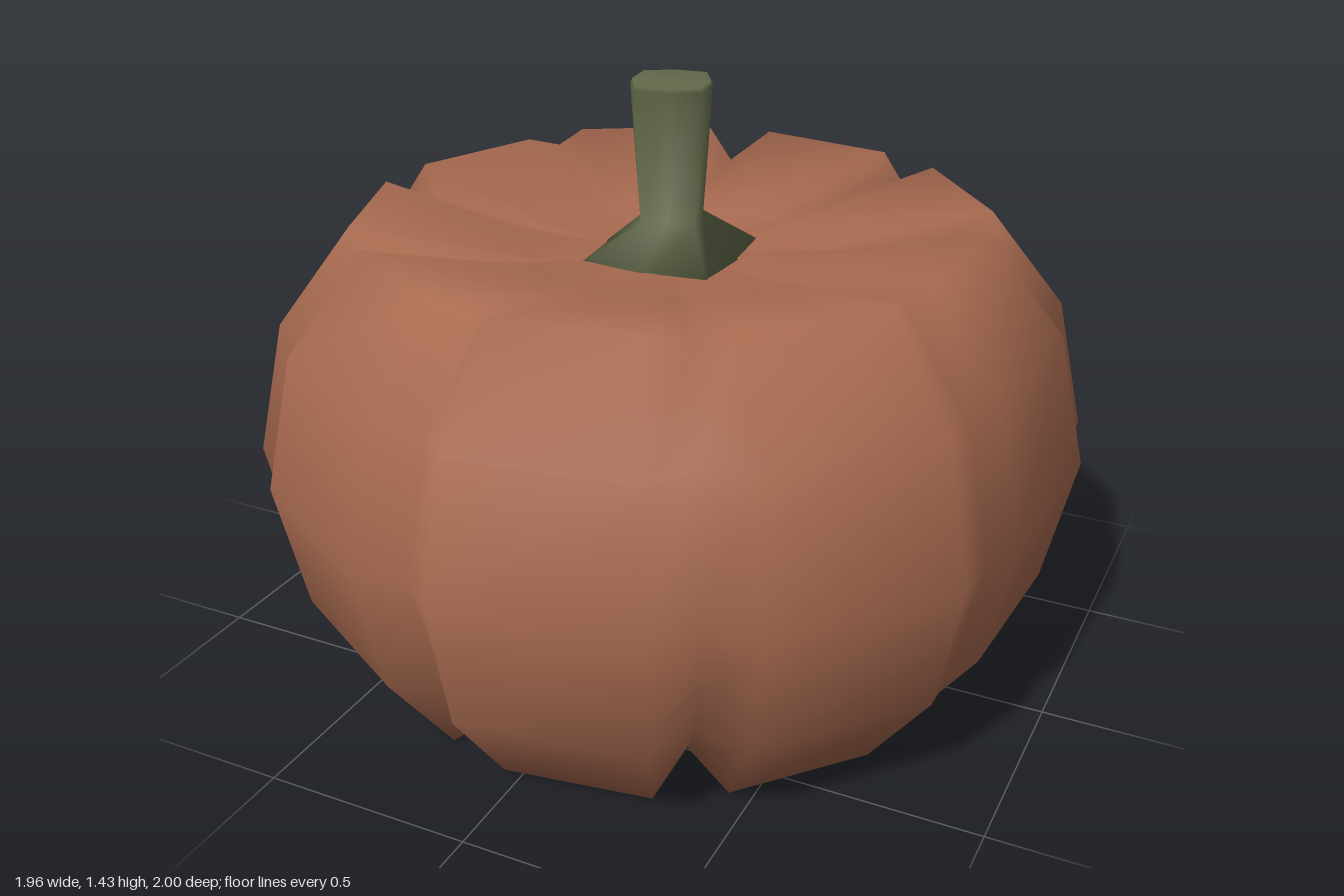
import * as THREE from 'three';

const pumpkinSkin = new THREE.MeshStandardMaterial({ color: 0xa86a50 });
pumpkinSkin.name = 'pumpkinSkin';
const stemGreen = new THREE.MeshStandardMaterial({ color: 0x62694a });
stemGreen.name = 'stemGreen';

// Skin closed rings of [x, y, z] points, listed from bottom to top, capped by two poles
function loft(rings, bottom, top) {
  const n = rings[0].length;
  const points = [...rings.flat(), bottom, top];
  const lowPole = points.length - 2, highPole = points.length - 1;
  const last = (rings.length - 1) * n;
  const index = [];
  for (let j = 0; j < n; j++) {
    const k = (j + 1) % n;
    for (let i = 0; i < rings.length - 1; i++) {
      const a = i * n + j, b = i * n + k;
      index.push(a, a + n, b, b, a + n, b + n);
    }
    index.push(lowPole, j, k, highPole, last + k, last + j);
  }
  const geometry = new THREE.BufferGeometry();
  geometry.setAttribute('position', new THREE.Float32BufferAttribute(points.flat(), 3));
  geometry.setIndex(index);
  geometry.computeVertexNormals();
  return geometry;
}

// Nine lobes: each has two ridge columns followed by a valley column
function createBody() {
  const ridges = [
    [1.011, 0.98], [1.011, 1.0], [1.01, 1.0], [0.98, 0.976], [0.985, 0.985],
    [0.976, 0.96], [1.005, 1.01], [1.0, 1.015], [1.03, 1.033],
  ];
  const shallow = [0, 5]; // lobes followed by a shallow valley
  const columns = ridges.flatMap(([r1, r2], k) => {
    const depth = shallow.includes(k) ? 0.35 : 1;
    return [
      { angle: 40 * k - 13.5, r: r1, depth: 0 },
      { angle: 40 * k + 13.5, r: r2, depth: 0 },
      { angle: 40 * k + 20, r: (r2 + ridges[(k + 1) % 9][0]) / 2, depth },
    ];
  });
  // height, ridge radius, valley height, valley radius
  const rows = [
    [0.09, 0.34, 0.09, 0.34],
    [0, 0.75, 0.06, 0.65],
    [0.24, 0.93, 0.25, 0.85],
    [0.555, 1, 0.555, 0.93],
    [0.875, 0.93, 0.865, 0.85],
    [1.11, 0.75, 1.05, 0.65],
    [1.02, 0.34, 1.02, 0.34],
  ];
  const rings = rows.map(([y, r, valleyY, valleyR]) => columns.map((c) => {
    const a = THREE.MathUtils.degToRad(c.angle);
    const radius = c.r * THREE.MathUtils.lerp(r, valleyR, c.depth);
    return [Math.cos(a) * radius, THREE.MathUtils.lerp(y, valleyY, c.depth), Math.sin(a) * radius];
  }));
  return loft(rings, [0, 0.1, 0], [0, 1.01, 0]);
}

// Squarish stem that twists as it rises from a flared foot
function createStem() {
  const ring = (y, corner, side, twist, x = 0.01, z = -0.01) =>
    Array.from({ length: 8 }, (_, j) => {
      const a = j * Math.PI / 4 + twist;
      const r = j % 2 ? corner : side;
      return [x + Math.cos(a) * r, y, z + Math.sin(a) * r];
    });
  const rings = [
    ring(0.99, 0.265, 0.2, 0),
    ring(1.1, 0.09, 0.075, -0.3),
    ring(1.42, 0.112, 0.096, -0.33),
    ring(1.43, 0.105, 0.09, -0.33),
  ];
  return loft(rings, [0.01, 0.97, -0.01], [0.01, 1.43, -0.01]);
}

export function createModel() {
  const model = new THREE.Group();
  model.name = 'pumpkin';
  const body = new THREE.Mesh(createBody(), pumpkinSkin);
  body.name = 'body';
  const stem = new THREE.Mesh(createStem(), stemGreen);
  stem.name = 'stem';
  model.add(body, stem);
  return model;
}
